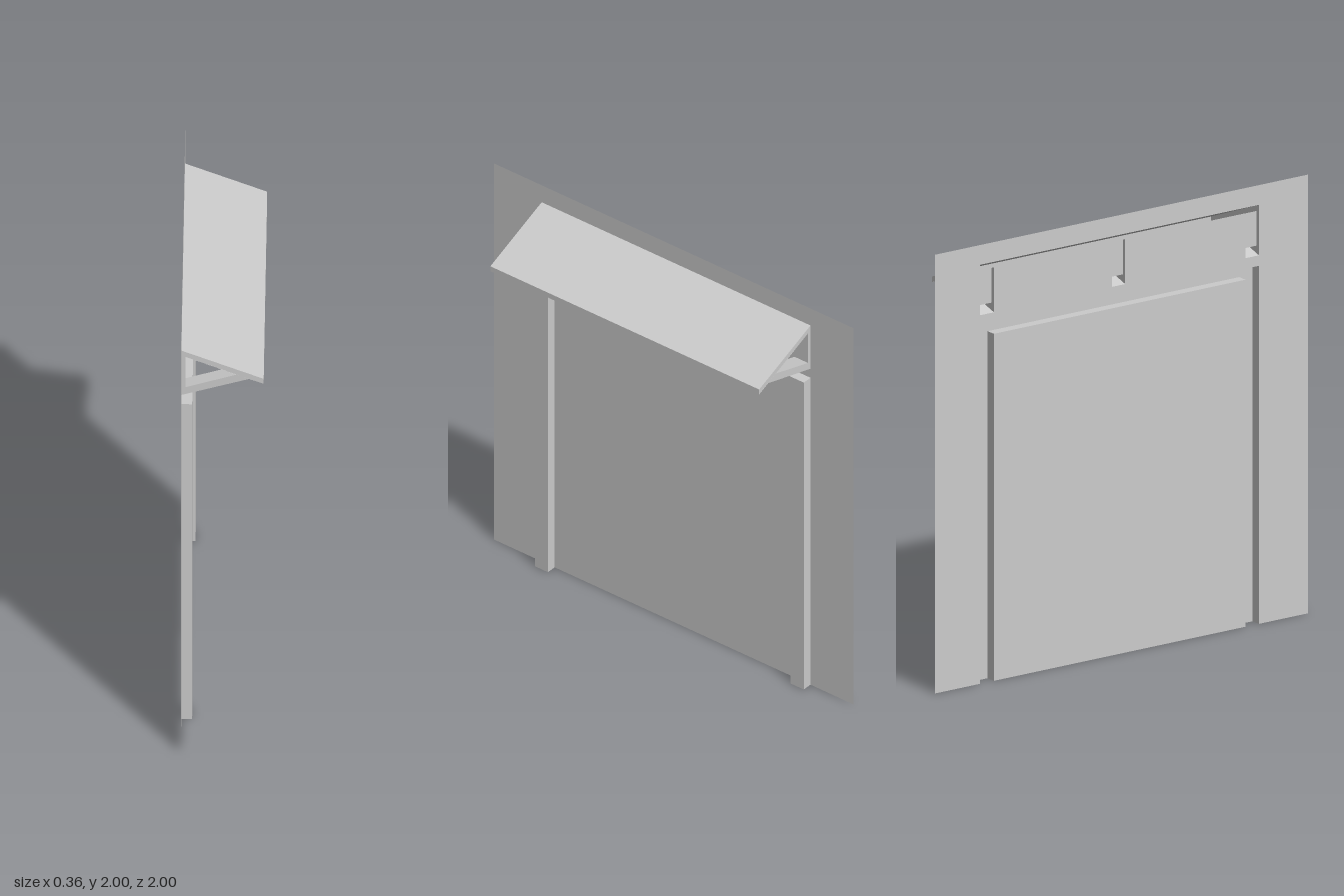
import * as THREE from 'three';
import { mergeGeometries } from 'three/addons/utils/BufferGeometryUtils.js';

const material = new THREE.MeshStandardMaterial({ color: 0xcccccc, side: THREE.DoubleSide, flatShading: true });

// Main dimensions
const WALL = -0.18, FRAME = -0.133;
const Z0 = -0.76, Z1 = 0.736;
const BRACKETS = [[Z0, -0.685], [-0.053, 0.019], [0.664, Z1]];

const toShape = pts => new THREE.Shape(pts.map(p => new THREE.Vector2(...p)));

// Flat face from (z, y) points, standing at a given x
function faceAtX(pts, x, holes = []) {
  const shape = toShape(pts);
  shape.holes = holes.map(toShape);
  return new THREE.ShapeGeometry(shape).rotateY(-Math.PI / 2).translate(x, 0, 0);
}

// Flat face from (x, y) points, standing at a given z
const faceAtZ = (pts, z) => new THREE.ShapeGeometry(toShape(pts)).translate(0, 0, z);

// Ribbon of flat quads: each path segment swept by an offset
function ribbon(path, offset) {
  const pos = [];
  for (let i = 0; i + 1 < path.length; i++) {
    const a = path[i], b = path[i + 1];
    const c = b.map((v, k) => v + offset[k]), d = a.map((v, k) => v + offset[k]);
    pos.push(...a, ...b, ...c, ...a, ...c, ...d);
  }
  const g = new THREE.BufferGeometry();
  g.setAttribute('position', new THREE.Float32BufferAttribute(pos, 3));
  g.computeVertexNormals();
  return g;
}

// Ribbon along z from an (x, y) profile
const alongZ = (pts, z0, z1) => ribbon(pts.map(([x, y]) => [x, y, z0]), [0, 0, z1 - z0]);

function part(name, geometries) {
  const plain = geometries.map(g => {
    const n = g.index ? g.toNonIndexed() : g;
    n.deleteAttribute('uv');
    return n;
  });
  const mesh = new THREE.Mesh(mergeGeometries(plain), material);
  mesh.name = name;
  return mesh;
}

export function createModel() {
  const group = new THREE.Group();
  group.name = 'doorwayWithCanopy';

  // Door opening outlines in (z, y)
  const outer = [[Z0, 0], [Z0, 1.632], [Z1, 1.632], [Z1, 0]];
  const inner = [[-0.685, 0], [-0.685, 1.582], [0.664, 1.582], [0.664, 0]];

  // Wall sheet, cut away behind the hollow frame, canopy and brackets
  const slot = [[Z0, 1.91], [Z1, 1.91]];
  [...BRACKETS].reverse().forEach(([a, b]) => {
    if (b !== Z1) slot.push([b, 1.885]);
    slot.push([b, 1.68], [a, 1.68]);
    if (a !== Z0) slot.push([a, 1.885]);
  });
  group.add(part('wall', [faceAtX([[-1, 0], ...outer, [1, 0], [1, 2], [-1, 2]], WALL, [slot])]));
  group.add(part('doorPanel', [faceAtX(inner, WALL)]));

  // Hollow door frame, open to the back and at the foot
  const sides = [outer, inner].map(o => ribbon(o.map(([z, y]) => [WALL, y, z]), [FRAME - WALL, 0, 0]));
  group.add(part('doorFrame', [faceAtX([...outer, ...[...inner].reverse()], FRAME), ...sides]));

  // Canopy slab: sloping shell, open at the wall
  const slab = [[WALL, 1.91], [0.178, 1.766], [0.178, 1.74], [WALL, 1.885]];
  const underside = [];
  for (let i = 0; i < 2; i++) {
    underside.push(alongZ(slab.slice(2), BRACKETS[i][1], BRACKETS[i + 1][0]));
  }
  // Underside above each bracket, left open where the bracket joins
  BRACKETS.forEach(([a, b]) => underside.push(
    alongZ([[0.178, 1.74], [0.115, 1.765]], a, b),
    alongZ([[0.06, 1.787], [-0.163, 1.878]], a, b)));
  group.add(part('canopySlab', [
    alongZ(slab.slice(0, 3), Z0, Z1), ...underside, faceAtZ(slab, Z0), faceAtZ(slab, Z1)]));

  // Triangular brackets: hollow upright and slanting arm
  const bracket = [[WALL, 1.885], [-0.163, 1.878], [-0.163, 1.72], [0.06, 1.787], [0.115, 1.765], [WALL, 1.68]];
  BRACKETS.forEach(([a, b], i) => group.add(part(['rightBracket', 'middleBracket', 'leftBracket'][i], [
    faceAtZ(bracket, a), faceAtZ(bracket, b),
    alongZ(bracket.slice(1, 4), a, b), alongZ(bracket.slice(4), a, b)])));

  return group;
}
